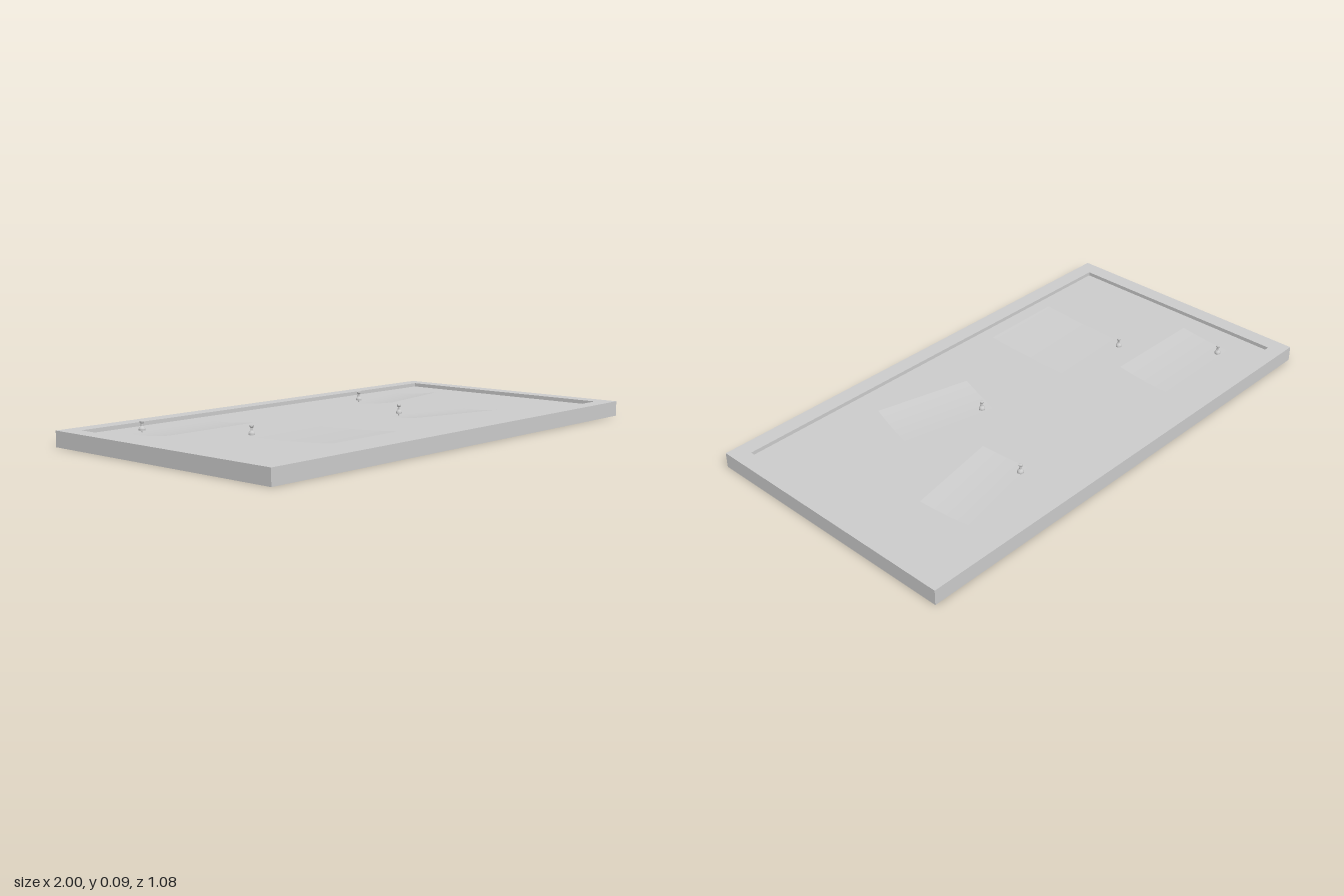
import * as THREE from 'three';

const grey = new THREE.MeshStandardMaterial({ color: 0xcccccc });
const thin = new THREE.MeshStandardMaterial({ color: 0xcccccc, side: THREE.DoubleSide });

const HEIGHT = 0.06, SURFACE = 0.045;
const HALF_X = 1, HALF_Z = 0.54, INNER_X = 0.936, INNER_Z = 0.476;

function part(name, geometry, material = grey) {
  const mesh = new THREE.Mesh(geometry, material);
  mesh.name = name;
  return mesh;
}

function rectangle(Path, x, y) {
  return new Path([[-x, -y], [x, -y], [x, y], [-x, y]].map(p => new THREE.Vector2(...p)));
}

// Raised border around the board
function createFrame() {
  const shape = rectangle(THREE.Shape, HALF_X, HALF_Z);
  shape.holes.push(rectangle(THREE.Path, INNER_X, INNER_Z));
  const geometry = new THREE.ExtrudeGeometry(shape, { depth: HEIGHT, bevelEnabled: false });
  return part('frame', geometry.rotateX(-Math.PI / 2));
}

// Sheet with its top edge on the board and its bottom edge curling up;
// the origin is the top left corner
function createPaper(width, length) {
  const geometry = new THREE.PlaneGeometry(width, length, 1, 12);
  geometry.rotateX(-Math.PI / 2).translate(width / 2, 0, length / 2);
  const position = geometry.attributes.position;
  for (let i = 0; i < position.count; i++) {
    const t = position.getZ(i) / length;
    position.setY(i, 0.001 + 0.018 * t * t);
  }
  geometry.computeVertexNormals();
  return part('paper', geometry, thin);
}

// Push pin: wide collar, narrow waist and flared head
function createPin() {
  const profile = [
    [0, 0], [0.003, 0], [0.003, 0.009], [0.012, 0.009], [0.012, 0.015], [0.01, 0.019],
    [0.005, 0.025], [0.0045, 0.034], [0.008, 0.039], [0.008, 0.044], [0, 0.045],
  ].map(p => new THREE.Vector2(...p));
  const geometry = new THREE.LatheGeometry(profile, 16).toNonIndexed();
  geometry.computeVertexNormals();
  return part('pushPin', geometry);
}

export function createModel() {
  const model = new THREE.Group();
  model.name = 'noticeBoard';
  model.add(createFrame());

  // Recessed panel
  const panel = part('panel', new THREE.BoxGeometry(INNER_X * 2, SURFACE, INNER_Z * 2));
  panel.position.y = SURFACE / 2;
  model.add(panel);

  // Pinned notes: top left corner, size, turn in degrees, pin offset
  const notes = [
    { x: -0.825, z: -0.38, w: 0.415, l: 0.247, turn: 0, pin: [0.055, 0, 0.035] },
    { x: 0.305, z: -0.32, w: 0.385, l: 0.213, turn: 10.4, pin: [0.05, 0, 0.02] },
    { x: -0.585, z: -0.04, w: 0.347, l: 0.44, turn: 0.9, pin: [0.034, -0.007, 0.03] },
    { x: 0.128, z: 0.032, w: 0.387, l: 0.215, turn: -14.4, pin: [0.045, 0, 0.027] },
  ];
  for (const { x, z, w, l, turn, pin } of notes) {
    const note = new THREE.Group();
    note.name = 'pinnedNote';
    const pushPin = createPin();
    pushPin.position.set(...pin);
    note.add(createPaper(w, l), pushPin);
    note.position.set(x, SURFACE, z);
    note.rotation.y = THREE.MathUtils.degToRad(turn);
    model.add(note);
  }
  return model;
}
